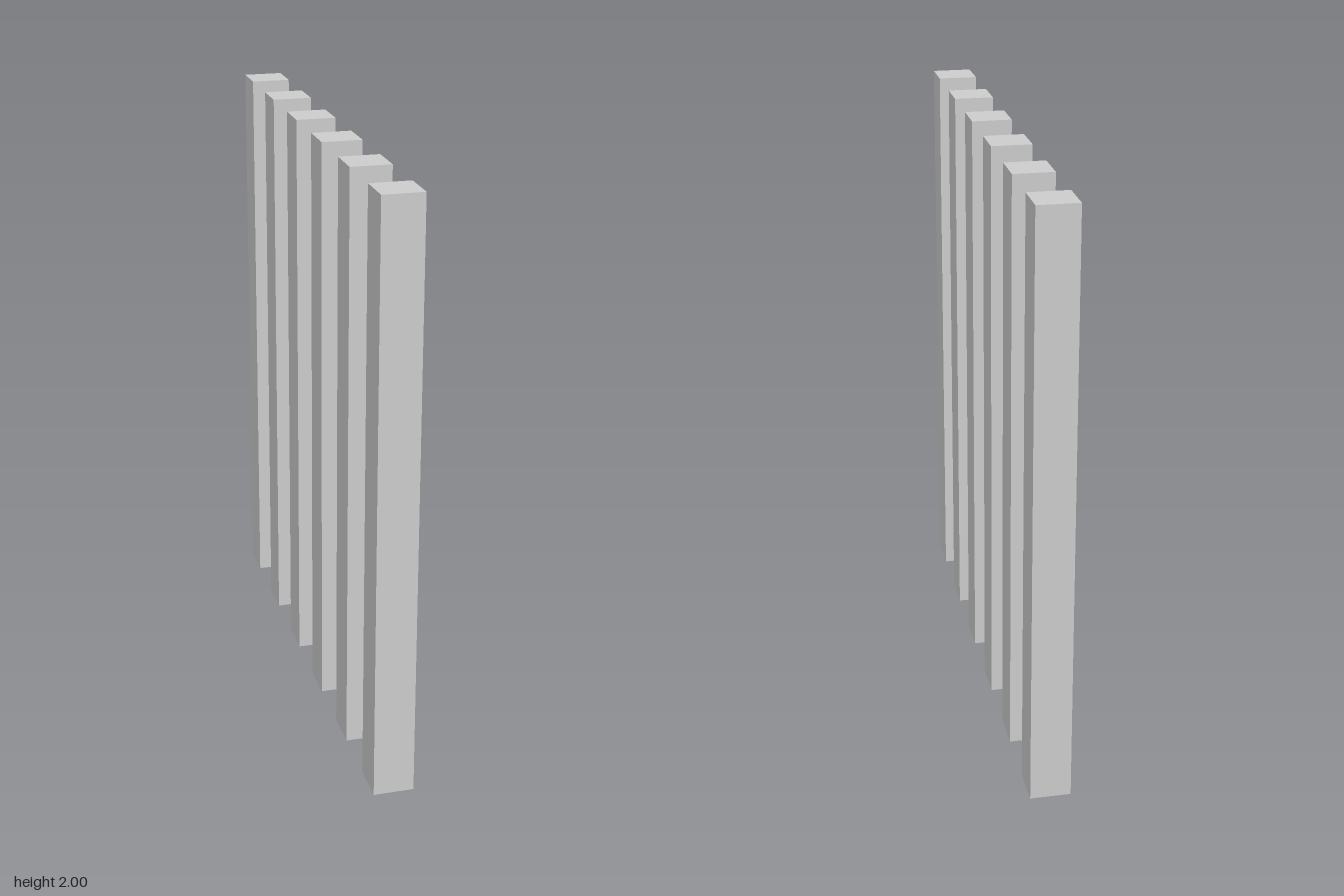
import * as THREE from 'three';

const COUNT = 6;
const HEIGHT = 2;
const WIDTH = 0.135;
const SPACING = 0.335;

export function createModel() {
  const model = new THREE.Group();
  model.name = 'postRow';
  const material = new THREE.MeshStandardMaterial({ color: 0xcccccc, flatShading: true });
  const geometry = new THREE.BoxGeometry(WIDTH, HEIGHT, WIDTH);

  // Evenly spaced square posts, from back to front
  for (let i = 0; i < COUNT; i++) {
    const post = new THREE.Mesh(geometry, material);
    post.name = `post${i + 1}`;
    post.position.set(0, HEIGHT / 2, (i - (COUNT - 1) / 2) * SPACING);
    model.add(post);
  }
  return model;
}
